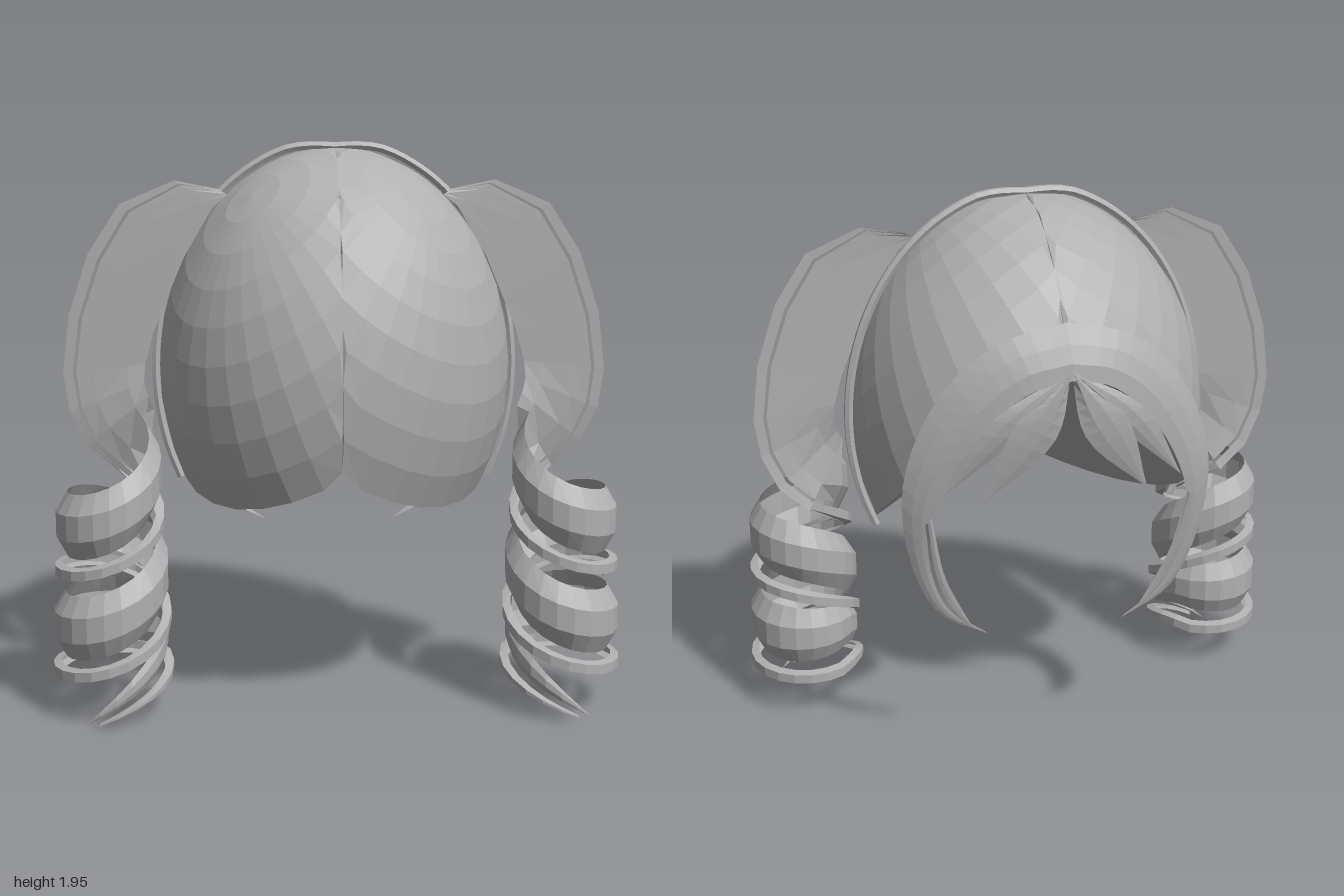
import * as THREE from 'three';
import { mergeGeometries } from 'three/addons/utils/BufferGeometryUtils.js';

const hair = new THREE.MeshStandardMaterial({ color: 0xb0b0b0, side: THREE.DoubleSide, flatShading: true });
hair.name = 'hairGrey';

const V = (p) => new THREE.Vector3(...p);

// Smoothly resample a few points
const smooth = (pts, n) => new THREE.CatmullRomCurve3(pts.map(V)).getPoints(n);

// Sheet through rows of equal length; side = 1 or -1 mirrors it in x
function sheet(rows, side) {
  const pos = [], idx = [], w = rows[0].length;
  rows.forEach((row) => row.forEach((p) => pos.push(p.x * side, p.y, p.z)));
  for (let i = 0; i < rows.length - 1; i++) {
    for (let j = 0; j < w - 1; j++) {
      const a = i * w + j, b = a + w;
      idx.push(a, b, a + 1, a + 1, b, b + 1);
    }
  }
  const g = new THREE.BufferGeometry();
  g.setAttribute('position', new THREE.Float32BufferAttribute(pos, 3));
  g.setIndex(idx);
  g.computeVertexNormals();
  return g;
}

function part(name, geometry) {
  const m = new THREE.Mesh(geometry, hair);
  m.name = name;
  return m;
}

// Sheet between two edge curves, bulged by depth along z in the middle
function leaf(edgeA, edgeB, n, bulge, side) {
  const a = smooth(edgeA, n), b = smooth(edgeB, n);
  const rows = a.map((p, i) => [0, 0.33, 0.67, 1].map((t) => {
    const q = p.clone().lerp(b[i], t);
    q.z += bulge * Math.sin(Math.PI * t) * (1 - i / n);
    return q;
  }));
  return sheet(rows, side);
}

// Half of the hair cap: a tilted dome closed by a flat cut, trimmed at the middle
function capLobe(side) {
  const tilt = new THREE.Quaternion().setFromUnitVectors(
    new THREE.Vector3(0, 1, 0), new THREE.Vector3(0.467 * side, 0.8, 0.374).normalize());
  const end = Math.PI / 2 - 0.045;
  const dome = new THREE.SphereGeometry(1, 32, 9, 0, Math.PI * 2, 0, end);
  const cut = new THREE.CircleGeometry(Math.sin(end), 32);
  cut.rotateX(Math.PI / 2).translate(0, Math.cos(end), 0);
  const g = mergeGeometries([dome, cut])
    .applyQuaternion(tilt).scale(0.615, 0.768, 0.602).translate(0, 1.2, 0);
  const p = g.attributes.position;
  for (let i = 0; i < p.count; i++) p.setX(i, side * Math.max(0, side * p.getX(i)));
  return g;
}

// Half of the narrow band running over the cap
function bandHalf(side) {
  const pts = [];
  for (let i = 0; i <= 16; i++) {
    const t = -0.52 + (i / 16) * (Math.PI / 2 + 0.52);
    const dip = 0.02 * Math.max(0, (i - 14) / 2);
    pts.push(new THREE.Vector3(0.628 * Math.cos(t) * side, 1.2 + 0.79 * Math.sin(t) - dip, 0.01));
  }
  return new THREE.TubeGeometry(new THREE.CatmullRomCurve3(pts), 36, 0.016, 6);
}

// Pigtail loop outline, outer and inner edges
const loopOuter = [[0.4, 1.83, 0.1], [0.55, 1.86, 0.1], [0.74, 1.78, 0.1], [0.85, 1.61, 0.1], [0.92, 1.4, 0.1],
  [0.945, 1.2, 0.1], [0.925, 1.06, 0.1], [0.87, 0.94, 0.09], [0.77, 0.85, 0.08]].map(V);
const loopInner = [[0.37, 1.81, 0.11], [0.42, 1.77, 0.11], [0.52, 1.6, 0.11], [0.58, 1.46, 0.11], [0.63, 1.34, 0.11],
  [0.66, 1.23, 0.11], [0.665, 1.17, 0.12], [0.65, 1.12, 0.14], [0.63, 1.08, 0.16]].map(V);

// Rows across the pigtail loop between two fractions of its width
const loopRows = (from, to) => loopOuter.map((p, i) => [0, 0.25, 0.75, 1]
  .map((t) => p.clone().lerp(loopInner[i], from + (to - from) * t)));

// Point on the ringlet: turn 0 is the inner side, then front, outer, back
function spiral(turn, y, dr) {
  const a = Math.PI * (1 - 2 * turn), r = 0.177 + 0.018 * Math.min(turn, 1.3) + dr;
  return new THREE.Vector3(0.78 + r * Math.cos(a), Math.max(0, y), 0.265 + (r + 0.015) * Math.sin(a));
}

// Height of the ringlet: level on the outer side, steep on the inner side,
// then a short hanging tail after the second turn
function spiralY(turn) {
  const t = Math.min(turn, 1.55);
  const drop = Math.max(0, turn - 1.9) / 0.43;
  return 0.885 - 0.35 * t - 0.05 * Math.sin(2 * Math.PI * t) - 0.32 * drop ** 1.2;
}

// Wide lock: loop sheet that turns into a tapering ringlet
function wideLock(side) {
  const rows = loopRows(0.16, 1), end = 2.33;
  for (let i = 0; i <= 50; i++) {
    const turn = -0.1 + (end + 0.1) * (i / 50);
    const tail = THREE.MathUtils.clamp((turn - 1.65) / (end - 1.65), 0, 1);
    const half = 0.112 * (1 - tail ** 1.4);
    rows.push([[-1, -0.035], [-0.4, 0], [0.4, 0], [1, -0.04]]
      .map(([h, dr]) => spiral(turn, spiralY(turn) + h * half, dr * (1 - tail) - 0.02 * tail)));
  }
  return sheet(rows, side);
}

// Thin lock: rim of the loop that winds between the ringlet's bands
function thinLock(side) {
  const rows = loopRows(0, 0.12), end = 2.28;
  for (let i = 0; i <= 48; i++) {
    const turn = -0.08 + (end + 0.08) * (i / 48);
    const tail = THREE.MathUtils.clamp((turn - 1.85) / (end - 1.85), 0, 1);
    const half = 0.024 * (1 - tail * 0.9);
    const y = spiralY(turn) - 0.16 + 0.13 * tail;
    rows.push([[-1, -0.02], [-0.7, 0.008], [0.7, 0.008], [1, -0.02]]
      .map(([h, dr]) => spiral(turn, y + h * half, dr)));
  }
  return sheet(rows, side);
}

// Long face-framing lock, from the parting to the tip
const fringeOuter = [[0, 1.67, -0.51], [0.2, 1.62, -0.5], [0.36, 1.5, -0.475], [0.48, 1.3, -0.45],
  [0.53, 1.08, -0.43], [0.49, 0.8, -0.41], [0.4, 0.63, -0.4], [0.24, 0.54, -0.4]];
const fringeInner = [[0, 1.5, -0.59], [0.13, 1.47, -0.58], [0.26, 1.36, -0.555], [0.38, 1.18, -0.51],
  [0.44, 1.0, -0.47], [0.43, 0.8, -0.43], [0.37, 0.65, -0.41], [0.25, 0.55, -0.4]];
const wispOuter = [[0.46, 1.0, -0.465], [0.435, 0.8, -0.43], [0.38, 0.66, -0.412], [0.28, 0.56, -0.405]];
const wispInner = [[0.44, 1.03, -0.475], [0.395, 0.8, -0.44], [0.345, 0.68, -0.42], [0.29, 0.57, -0.405]];

// Short fringe leaves fanning out below the parting: [outer mid, inner mid, tip]
const shortFringe = [
  [[0.25, 1.38, -0.56], [0.13, 1.36, -0.575], [0.41, 1.1, -0.49]],
  [[0.18, 1.37, -0.58], [0.05, 1.3, -0.575], [0.28, 1.08, -0.525]],
];

export function createModel() {
  const model = new THREE.Group();
  model.name = 'hairstyle';
  for (const side of [1, -1]) {
    const half = new THREE.Group();
    half.name = side > 0 ? 'leftHalf' : 'rightHalf';
    half.add(
      part('capLobe', capLobe(side)),
      part('hairBand', bandHalf(side)),
      part('wideRinglet', wideLock(side)),
      part('thinRinglet', thinLock(side)),
      part('longFringe', leaf(fringeOuter, fringeInner, 24, -0.025, side)),
      part('fringeWisp', leaf(wispOuter, wispInner, 10, -0.01, side)),
    );
    for (const [a, b, tip] of shortFringe) {
      const root = [0, 1.53, -0.575];
      half.add(part('shortFringe', leaf([root, a, tip], [root, b, tip], 10, -0.02, side)));
    }
    model.add(half);
  }
  return model;
}
